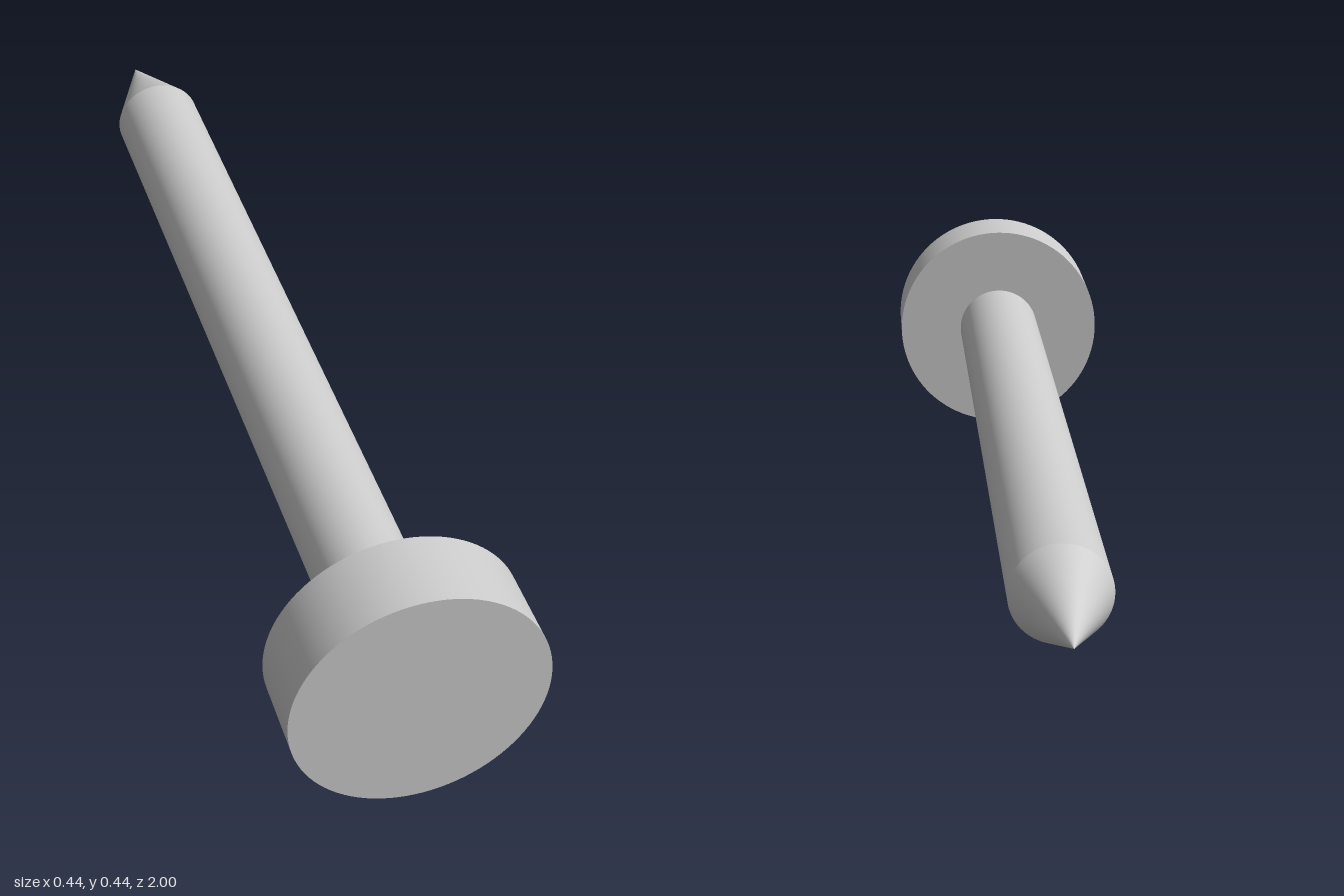
import * as THREE from 'three';

const HEAD_R = 0.222, SHAFT_R = 0.087, SEGMENTS = 96;
const HEAD_BACK = 0.855, TIP_START = -0.78;

export function createModel() {
  const group = new THREE.Group();
  group.name = 'nail';
  const material = new THREE.MeshStandardMaterial({ color: 0xcccccc });

  // Round part along z, from zFront back to zBack
  function addRound(name, rFront, rBack, zFront, zBack, open) {
    const geometry = new THREE.CylinderGeometry(rFront, rBack, zFront - zBack, SEGMENTS, 1, open);
    geometry.rotateX(Math.PI / 2);
    const mesh = new THREE.Mesh(geometry, material);
    mesh.name = name;
    mesh.position.set(0, HEAD_R, (zFront + zBack) / 2);
    group.add(mesh);
  }

  // Flat disc head, straight shaft and pointed tip
  addRound('head', HEAD_R, HEAD_R, 1, HEAD_BACK, false);
  addRound('shaft', SHAFT_R, SHAFT_R, HEAD_BACK, TIP_START, true);
  addRound('tip', SHAFT_R, 0, TIP_START, -1, true);

  return group;
}
